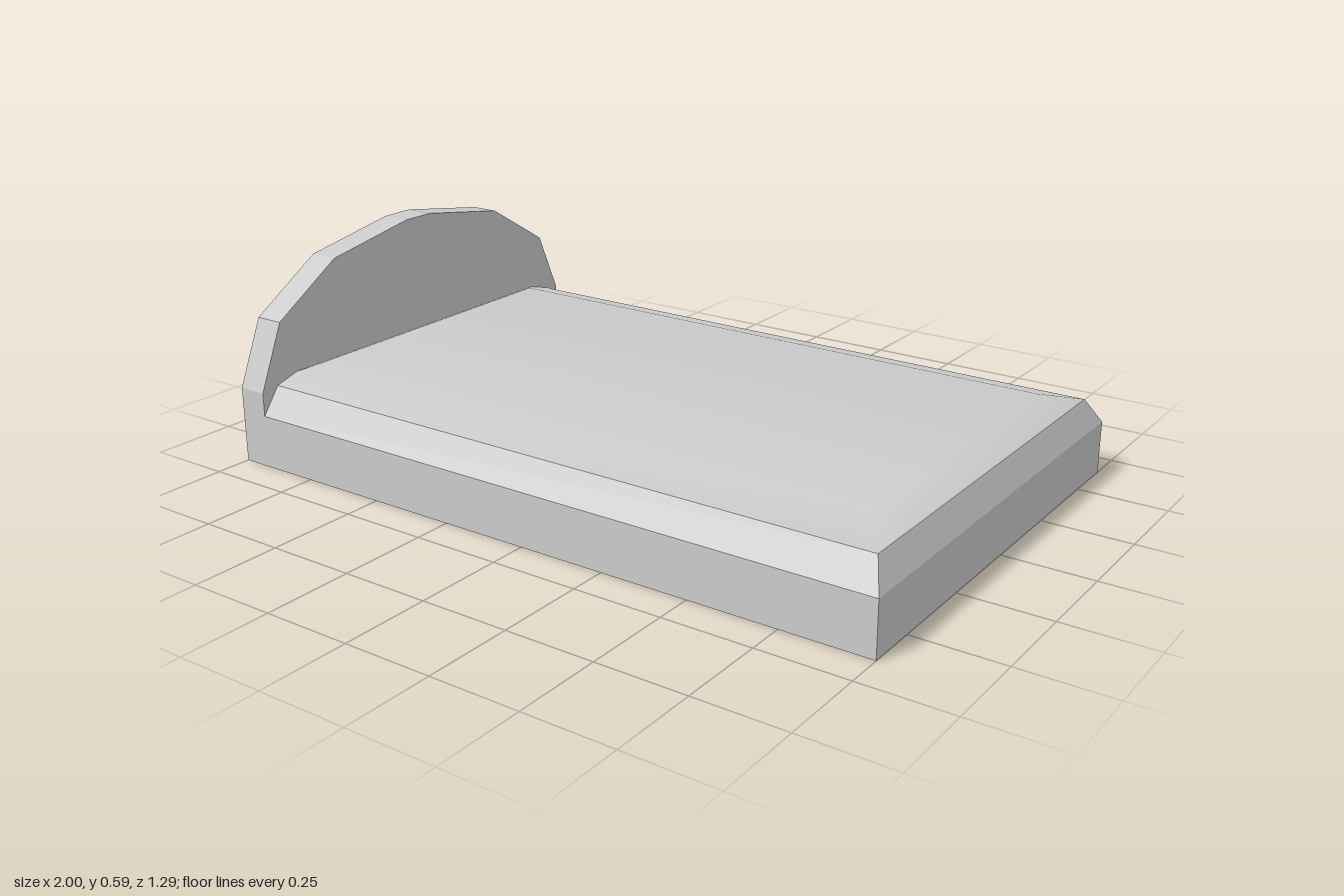
import * as THREE from 'three';
import { toCreasedNormals } from 'three/addons/utils/BufferGeometryUtils.js';

const HALF_WIDTH = 0.645;
const BASE_TOP = 0.15;

// Mattress: stacked rectangles [half length, height, half width], capped on top
function mattressGeometry() {
  const rings = [[1, BASE_TOP, HALF_WIDTH], [0.965, 0.225, 0.59], [0.88, 0.26, 0.465]];
  const points = [];
  const index = [];
  for (const [x, y, z] of rings) points.push(-x, y, z, x, y, z, x, y, -z, -x, y, -z);
  for (let r = 0; r < rings.length - 1; r++) {
    for (let i = 0; i < 4; i++) {
      const a = r * 4 + i;
      const b = r * 4 + (i + 1) % 4;
      index.push(a, b, b + 4, a, b + 4, a + 4);
    }
  }
  const top = (rings.length - 1) * 4;
  index.push(top, top + 1, top + 2, top, top + 2, top + 3);
  const geometry = new THREE.BufferGeometry();
  geometry.setAttribute('position', new THREE.Float32BufferAttribute(points, 3));
  geometry.setIndex(index);
  return toCreasedNormals(geometry, 0.5);
}

// Headboard: faceted arch across the bed, extruded along x
function headboardGeometry() {
  const half = [[HALF_WIDTH, BASE_TOP], [HALF_WIDTH, 0.217], [0.565, 0.402], [0.347, 0.536], [0.05, 0.587]];
  const mirrored = half.map(([z, y]) => [-z, y]).reverse();
  const shape = new THREE.Shape([...half, ...mirrored].map(([z, y]) => new THREE.Vector2(z, y)));
  const geometry = new THREE.ExtrudeGeometry(shape, { depth: 0.085, bevelEnabled: false });
  geometry.rotateY(Math.PI / 2);
  geometry.translate(-1, 0, 0);
  return geometry;
}

export function createModel() {
  const model = new THREE.Group();
  model.name = 'bed';
  const grey = new THREE.MeshStandardMaterial({ color: 0xcccccc });
  grey.name = 'light grey';

  const add = (name, geometry) => {
    const mesh = new THREE.Mesh(geometry, grey);
    mesh.name = name;
    model.add(mesh);
    return mesh;
  };

  // Solid bed base
  add('base', new THREE.BoxGeometry(2, BASE_TOP, HALF_WIDTH * 2)).position.y = BASE_TOP / 2;
  add('mattress', mattressGeometry());
  add('headboard', headboardGeometry());
  return model;
}
